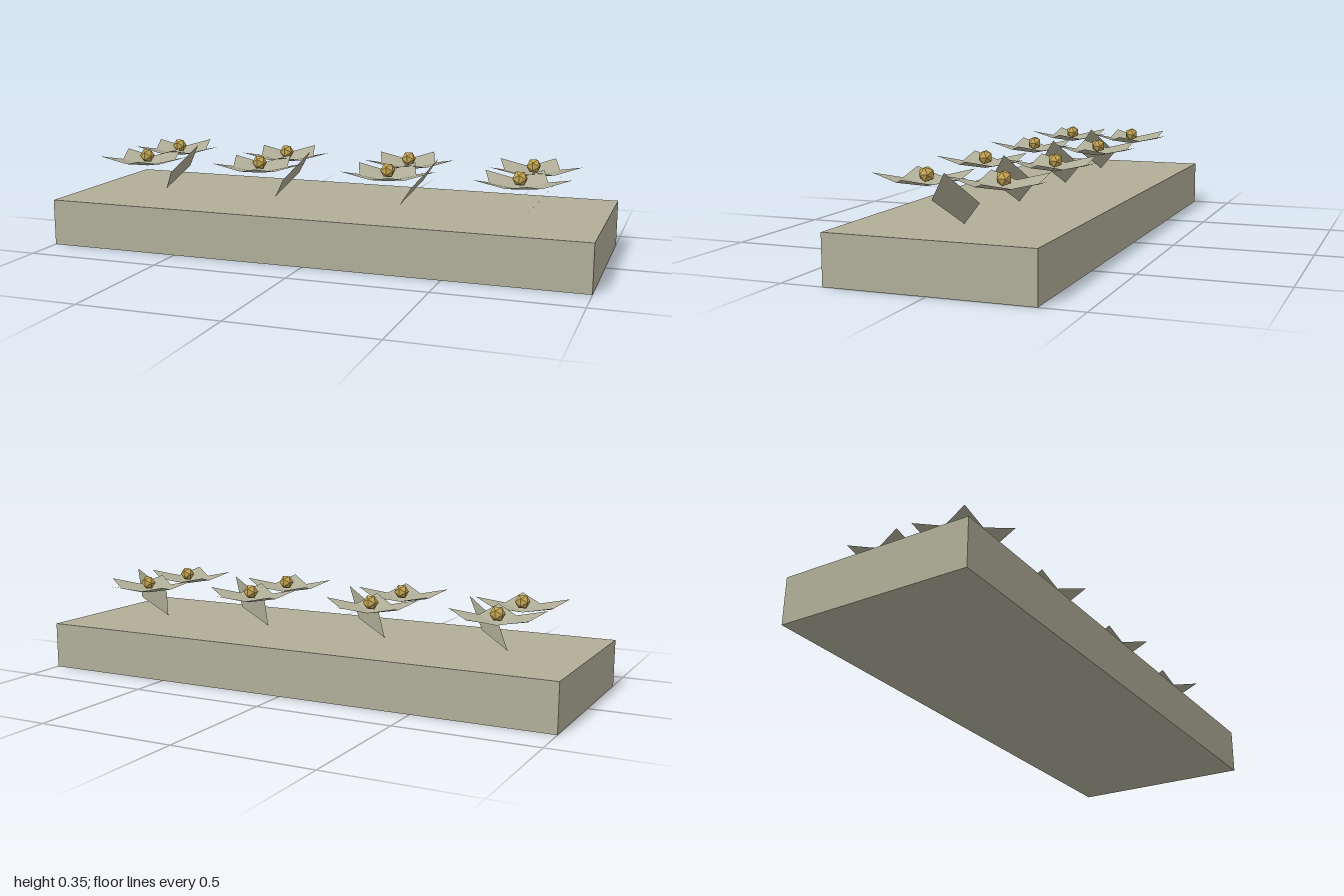
import * as THREE from 'three';

const stone = new THREE.MeshStandardMaterial({ color: 0xb0ae98 });
stone.name = 'pale stone';
const petalMat = new THREE.MeshStandardMaterial({ color: 0xb0ae98, side: THREE.DoubleSide, flatShading: true });
petalMat.name = 'pale petal';
const gold = new THREE.MeshStandardMaterial({ color: 0xc4a552, flatShading: true });
gold.name = 'gold';

// Kite folded along its spine: base, right side, tip, left side
function kite(base, side, tip) {
  const mirrored = [side[0], side[1], -side[2]];
  const g = new THREE.BufferGeometry();
  g.setAttribute('position', new THREE.Float32BufferAttribute(
    [...base, ...side, ...tip, ...base, ...tip, ...mirrored], 3));
  g.computeVertexNormals();
  return g;
}

function mesh(name, geometry, material, parent) {
  const m = new THREE.Mesh(geometry, material);
  m.name = name;
  parent.add(m);
  return m;
}

export function createModel() {
  const model = new THREE.Group();
  model.name = 'flowerBed';

  // Slab
  mesh('slab', new THREE.BoxGeometry(2, 0.171, 0.704), stone, model).position.y = 0.0855;

  const petalGeo = kite([0, 0, 0], [0.086, 0.019, 0.0625], [0.176, 0.043, 0]);
  const leafGeo = kite([0.006, 0, 0], [0.071, 0.081, 0.082], [0.15, 0.181, 0]);
  const heartGeo = new THREE.IcosahedronGeometry(0.0276, 0);

  for (const x of [-0.718, -0.25, 0.245, 0.716]) {
    // Leaf leaning outward between each pair of flowers
    mesh('leaf', leafGeo, petalMat, model).position.set(x, 0.171, 0);

    // Pair of five-petalled flowers
    for (const z of [-0.133, 0.133]) {
      const flower = new THREE.Group();
      flower.name = 'flower';
      flower.position.set(x, 0.284, z);
      for (let i = 0; i < 5; i++) {
        mesh('petal', petalGeo, petalMat, flower).rotation.y = i * Math.PI * 2 / 5;
      }
      mesh('flowerHeart', heartGeo, gold, flower).position.y = 0.0385;
      model.add(flower);
    }
  }
  return model;
}
